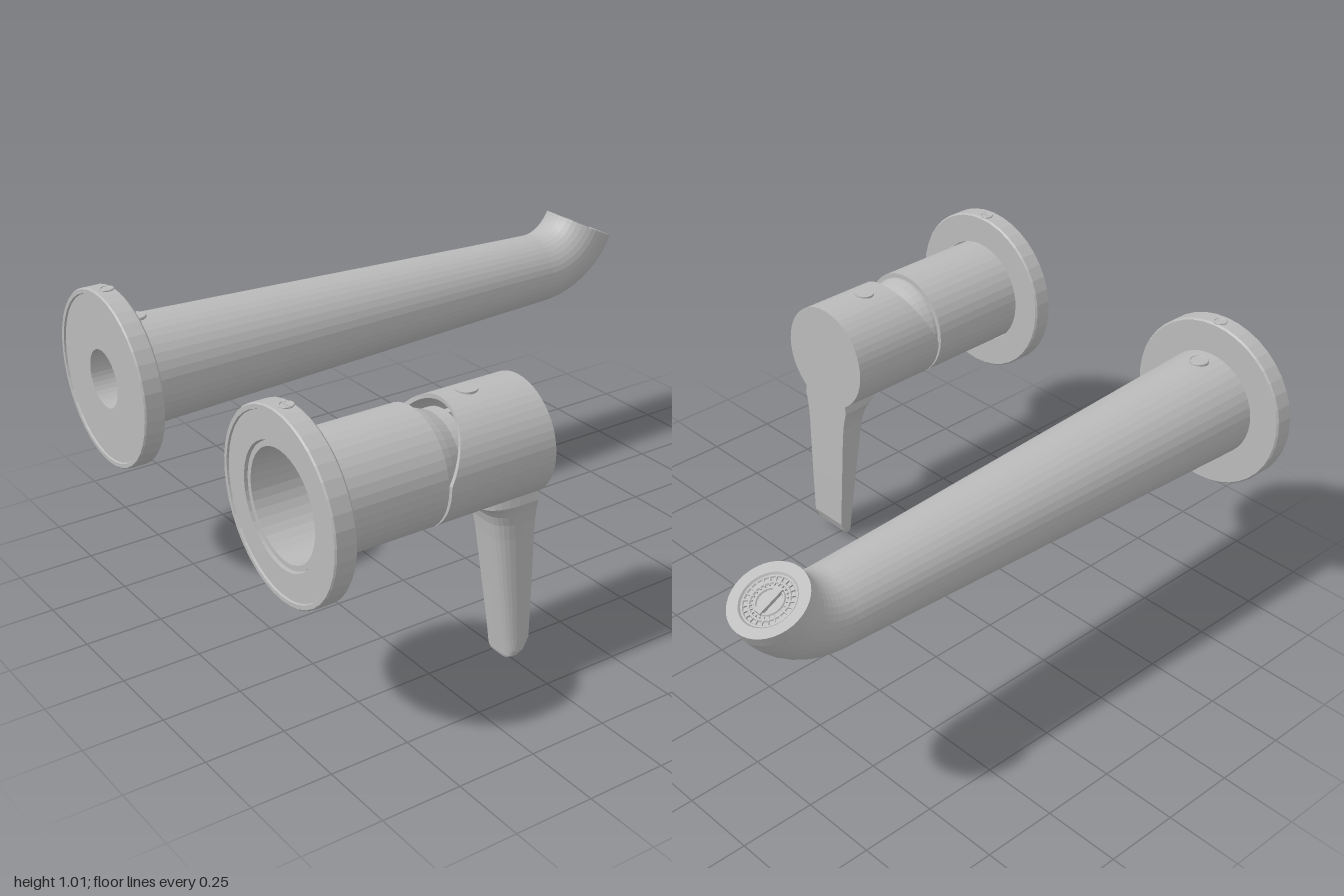
import * as THREE from 'three';

const SEG = 40, CX = 0.525, CY = 0.725;
const BEND = 1.107, BEND_R = 0.235, BEND_Z = -0.68;

const metal = new THREE.MeshStandardMaterial({ color: 0xbababa, flatShading: true, side: THREE.DoubleSide });
metal.name = 'satin metal';

function add(parent, name, geometry, x = 0, y = 0, z = 0) {
  const mesh = new THREE.Mesh(geometry, metal);
  mesh.name = name;
  mesh.position.set(x, y, z);
  parent.add(mesh);
  return mesh;
}

// Turned part around the z axis; profile is a list of [radius, z]
function turned(profile) {
  const pts = profile.map(([r, z]) => new THREE.Vector2(r, z));
  return new THREE.LatheGeometry(pts, SEG).rotateX(Math.PI / 2);
}

// Skin over closed rings; ring(i, t) returns [x, y, z]
function loft(count, ring, seg = SEG) {
  const pos = [], index = [];
  for (let i = 0; i < count; i++) {
    for (let j = 0; j < seg; j++) pos.push(...ring(i, (j / seg) * Math.PI * 2));
  }
  for (let i = 0; i < count - 1; i++) {
    for (let j = 0; j < seg; j++) {
      const k = (j + 1) % seg;
      const a = i * seg + j, b = i * seg + k, d = a + seg, c = b + seg;
      index.push(a, d, c, a, c, b);
    }
  }
  const g = new THREE.BufferGeometry();
  g.setAttribute('position', new THREE.Float32BufferAttribute(pos, 3));
  g.setIndex(index);
  g.computeVertexNormals();
  return g;
}

// Small screw with a raised edge, facing up
function screw(parent, name, radius, y, z, slotted) {
  const g = new THREE.Group();
  g.name = name;
  g.position.set(0, y, z);
  add(g, 'screwFace', new THREE.CylinderGeometry(radius, radius, 0.012, 20), 0, -0.004, 0);
  add(g, 'screwEdge', new THREE.TorusGeometry(radius * 0.9, 0.003, 6, 20).rotateX(Math.PI / 2), 0, 0.002, 0);
  if (slotted) add(g, 'screwSlot', new THREE.BoxGeometry(radius * 1.8, 0.003, 0.006), 0, 0.003, 0);
  parent.add(g);
}

// Wall plate shared by both fittings, with a hole of the given radius
function wallPlate(parent, hole) {
  add(parent, 'wallPlate', turned([
    [hole, 0.932], [0.282, 0.932], [0.287, 0.938], [0.287, 0.995], [0.283, 1],
    [0.27, 1], [0.268, 0.994], [hole, 0.994], [hole, 0.932],
  ]));
}

function buildSpout() {
  const g = new THREE.Group();
  g.name = 'spout';
  g.position.set(-CX, CY, 0);
  wallPlate(g, 0.094);
  add(g, 'inletBore', turned([[0.094, 0.994], [0.094, 0.88], [0.07, 0.88]]));

  // Centre line: straight run, then an upward bend; [bend angle, z offset, radius]
  const outer = [[0, 0.932, 0.179], [0, 0.2, 0.153], [0, -0.4, 0.131]];
  const steps = 10;
  for (let i = 0; i <= steps; i++) outer.push([(BEND * i) / steps, BEND_Z, 0.122]);
  const inner = outer.map(([a, z]) => [a, Math.min(z, 0.88), 0.07]).reverse();
  inner[0][2] = 0.088;
  const rings = [...outer, [BEND, BEND_Z, 0.09], ...inner];
  add(g, 'spoutTube', loft(rings.length, (i, t) => {
    const [a, z, r] = rings[i];
    const u = r * Math.sin(t);
    return [
      r * Math.cos(t),
      BEND_R * (1 - Math.cos(a)) + u * Math.cos(a),
      z - BEND_R * Math.sin(a) + u * Math.sin(a),
    ];
  }));

  // Outlet insert set just inside the mouth
  const outlet = new THREE.Group();
  outlet.name = 'outletInsert';
  outlet.position.set(0, BEND_R * (1 - Math.cos(BEND)), BEND_Z - BEND_R * Math.sin(BEND));
  outlet.rotation.x = BEND - Math.PI / 2;
  add(outlet, 'outletDisc', new THREE.CylinderGeometry(0.088, 0.088, 0.01, SEG), 0, -0.015, 0);
  for (const r of [0.08, 0.06, 0.042]) {
    add(outlet, 'outletRing', new THREE.TorusGeometry(r, 0.005, 6, 32).rotateX(Math.PI / 2), 0, -0.009, 0);
  }
  for (let i = 0; i < 24; i++) {
    const a = (i / 24) * Math.PI * 2;
    const rib = add(outlet, 'outletRib', new THREE.BoxGeometry(0.03, 0.007, 0.004),
      0.065 * Math.cos(a), -0.008, 0.065 * Math.sin(a));
    rib.rotation.y = -a;
  }
  add(outlet, 'outletBar', new THREE.BoxGeometry(0.026, 0.014, 0.09), 0, -0.006, 0);
  g.add(outlet);

  screw(g, 'spoutSetScrew', 0.032, 0.178, 0.87, false);
  screw(g, 'plateScrew', 0.022, 0.286, 0.958, false);
  return g;
}

function buildMixer() {
  const g = new THREE.Group();
  g.name = 'mixer';
  g.position.set(CX, CY, 0);
  wallPlate(g, 0.185);
  screw(g, 'plateScrew', 0.022, 0.286, 0.958, true);
  add(g, 'sleeve', turned([
    [0.14, 0.57], [0.181, 0.57], [0.181, 0.985], [0.165, 0.985], [0.165, 0.6], [0.14, 0.6], [0.14, 0.57],
  ]));
  add(g, 'neckDome', turned([
    [0.128, 0.47], [0.143, 0.5], [0.157, 0.535], [0.164, 0.56], [0.165, 0.575],
  ]));

  // Handle head: hollow cup whose upper edge is cut back at a slant
  const cup = [[0, 0.22], [0.168, 0.22], [0.168, null], [0.181, null], [0.181, 0.2], [0, 0.2]];
  add(g, 'handleHead', loft(cup.length, (i, t) => {
    const [r, z] = cup[i];
    const cut = 0.56 - 0.09 * Math.max(0, Math.sin(t));
    return [r * Math.cos(t), r * Math.sin(t), z === null ? cut : z];
  }, 48));
  add(g, 'indicatorButton', new THREE.CylinderGeometry(0.033, 0.033, 0.012, 24), 0, 0.179, 0.38);

  // Lever sections from tip to root: [y, half width, face z, back z]
  const lever = [
    [0.003, 0, 0.257, 0.257], [0.003, 0.045, 0.25, 0.264], [0.012, 0.058, 0.236, 0.267],
    [0.03, 0.066, 0.219, 0.269], [0.07, 0.07, 0.201, 0.274], [0.25, 0.079, 0.2, 0.295],
    [0.43, 0.087, 0.2, 0.317], [0.48, 0.091, 0.2, 0.325], [0.51, 0.096, 0.2, 0.335],
    [0.53, 0.1, 0.2, 0.35], [0.547, 0.105, 0.2, 0.375], [0.58, 0.1, 0.2, 0.375],
  ];
  add(g, 'lever', loft(lever.length, (i, t) => {
    const [y, w, face, back] = lever[i];
    const s = Math.sin(t), c = Math.cos(t);
    // flat outer face, rounded back
    const x = w * Math.sign(c) * Math.pow(Math.abs(c), s < 0 ? 0.12 : 0.6);
    const z = s < 0 ? face : face + (back - face) * Math.pow(s, 0.6);
    return [x, y - CY, z];
  }, 32));

  // Cartridge coupling inside the head
  const inside = new THREE.Group();
  inside.name = 'coupling';
  add(inside, 'couplingRing', turned([
    [0.13, 0.46], [0.142, 0.46], [0.142, 0.5], [0.13, 0.5], [0.13, 0.46],
  ]));
  add(inside, 'couplingBlock', new THREE.BoxGeometry(0.19, 0.1, 0.06), 0, -0.06, 0.25);
  for (const s of [-1, 1]) {
    add(inside, 'couplingPost', new THREE.BoxGeometry(0.025, 0.17, 0.2), s * 0.05, 0.02, 0.32);
  }
  for (const y of [-0.055, 0.07]) {
    add(inside, 'couplingBar', new THREE.BoxGeometry(0.125, 0.02, 0.2), 0, y, 0.32);
  }
  add(inside, 'couplingPin', new THREE.CylinderGeometry(0.03, 0.03, 0.14, 20), 0, 0.03, 0.3);
  g.add(inside);
  return g;
}

export function createModel() {
  const model = new THREE.Group();
  model.name = 'wallMountedTap';
  model.add(buildSpout(), buildMixer());
  return model;
}
